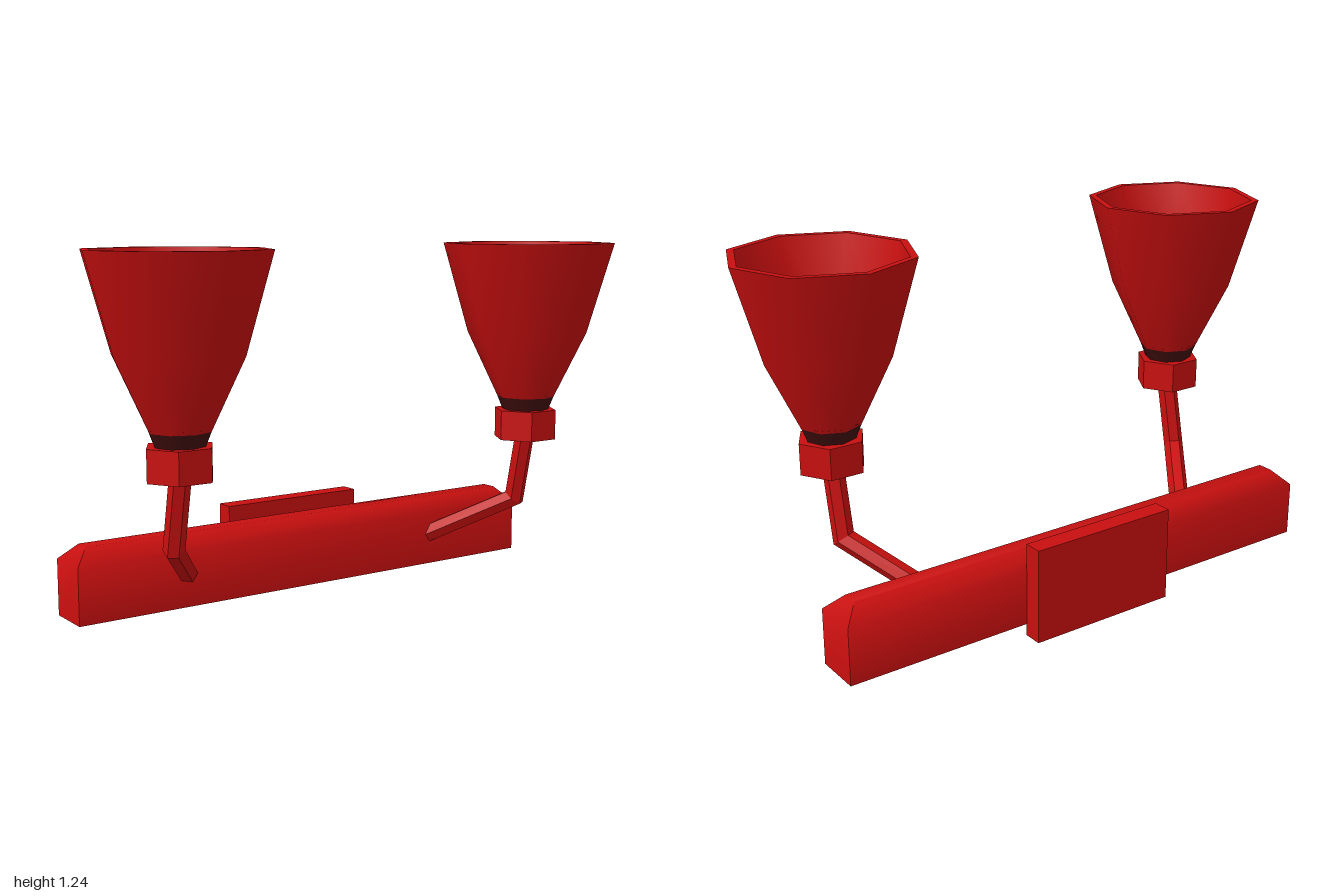
import * as THREE from 'three';
import { toCreasedNormals } from 'three/addons/utils/BufferGeometryUtils.js';

const red = new THREE.MeshStandardMaterial({ color: 0xc80f0f });
red.name = 'red';
const dark = new THREE.MeshStandardMaterial({ color: 0x400e0e });
dark.name = 'darkRed';

const CREASE = 0.9;

function part(name, geometry, material, x = 0, y = 0, z = 0) {
  const mesh = new THREE.Mesh(geometry, material);
  mesh.name = name;
  mesh.position.set(x, y, z);
  return mesh;
}

// Eight-sided turned surface; the profile runs up the outside and down the inside
function turned(profile) {
  const points = profile.map(([r, y]) => new THREE.Vector2(r, y));
  return toCreasedNormals(new THREE.LatheGeometry(points, 8), CREASE);
}

// Box whose upper edge is bevelled on all four sides
function bevelledBar(w, h, d, bevel) {
  const geometry = new THREE.BoxGeometry(w, h, d, 1, 2, 1);
  const p = geometry.attributes.position;
  for (let i = 0; i < p.count; i++) {
    const y = p.getY(i);
    if (Math.abs(y) < 1e-4) p.setY(i, h / 2 - bevel);
    else if (y > 0) {
      p.setX(i, p.getX(i) - Math.sign(p.getX(i)) * bevel);
      p.setZ(i, p.getZ(i) - Math.sign(p.getZ(i)) * bevel);
    }
  }
  return toCreasedNormals(geometry, CREASE);
}

// Six-sided rod with one mitred bend, made by sliding a ring along each leg
function bentRod(start, bend, end, radius) {
  const sides = 6;
  const d1 = bend.clone().sub(start).normalize();
  const d2 = end.clone().sub(bend).normalize();
  const mitre = d1.clone().add(d2).normalize();
  const slide = (point, dir, origin, normal) => point.clone().addScaledVector(
    dir, origin.clone().sub(point).dot(normal) / dir.dot(normal));
  const top = [];
  for (let i = 0; i < sides; i++) {
    const a = (i / sides) * Math.PI * 2;
    top.push(start.clone().add(
      new THREE.Vector3(Math.sin(a) * radius, 0, Math.cos(a) * radius)));
  }
  const middle = top.map((v) => slide(v, d1, bend, mitre));
  const tip = middle.map((v) => slide(v, d2, end, new THREE.Vector3(0, 0, 1)));
  const corners = [];
  for (const [a, b] of [[top, middle], [middle, tip]]) {
    for (let i = 0; i < sides; i++) {
      const j = (i + 1) % sides;
      corners.push(a[i], b[i], b[j], a[i], b[j], a[j]);
    }
  }
  for (let i = 1; i < sides - 1; i++) corners.push(tip[0], tip[i + 1], tip[i]);
  const geometry = new THREE.BufferGeometry().setFromPoints(corners);
  geometry.computeVertexNormals();
  return geometry;
}

function lamp(side) {
  const group = new THREE.Group();
  group.name = side > 0 ? 'leftLamp' : 'rightLamp';
  const x = side * 0.7;
  const z = 0.107;

  // Flared shade with a thin rim, dark neck and dark inner bowl
  group.add(part('shade', turned([
    [0.1, 0.69], [0.21, 0.92], [0.3, 1.235], [0.275, 1.235], [0.2, 0.93],
  ]), red, x, 0, z));
  group.add(part('neck', turned([[0.08, 0.64], [0.1, 0.69]]), dark, x, 0, z));
  group.add(part('innerBowl', turned([
    [0.2, 0.93], [0.105, 0.7], [0, 0.7],
  ]), dark, x, 0, z));

  // Hexagonal collar with corners pointing sideways
  const collar = new THREE.CylinderGeometry(0.113, 0.113, 0.105, 6);
  collar.rotateY(Math.PI / 6);
  group.add(part('collar', toCreasedNormals(collar, 0.5), red, x, 0.5925, z));

  // Arm from the collar down and back into the bar
  group.add(part('arm', bentRod(
    new THREE.Vector3(x, 0.56, 0.109),
    new THREE.Vector3(x, 0.312, 0.057),
    new THREE.Vector3(side * 0.52, 0.16, -0.195), 0.035), red));
  return group;
}

export function createModel() {
  const model = new THREE.Group();
  model.name = 'wallLamp';
  model.add(part('bar', bevelledBar(1.824, 0.243, 0.16, 0.053), red, 0, 0.1635, -0.268));
  model.add(part('wallPlate', new THREE.BoxGeometry(0.536, 0.325, 0.065), red, 0, 0.1625, -0.3775));
  for (const side of [-1, 1]) model.add(lamp(side));
  return model;
}
